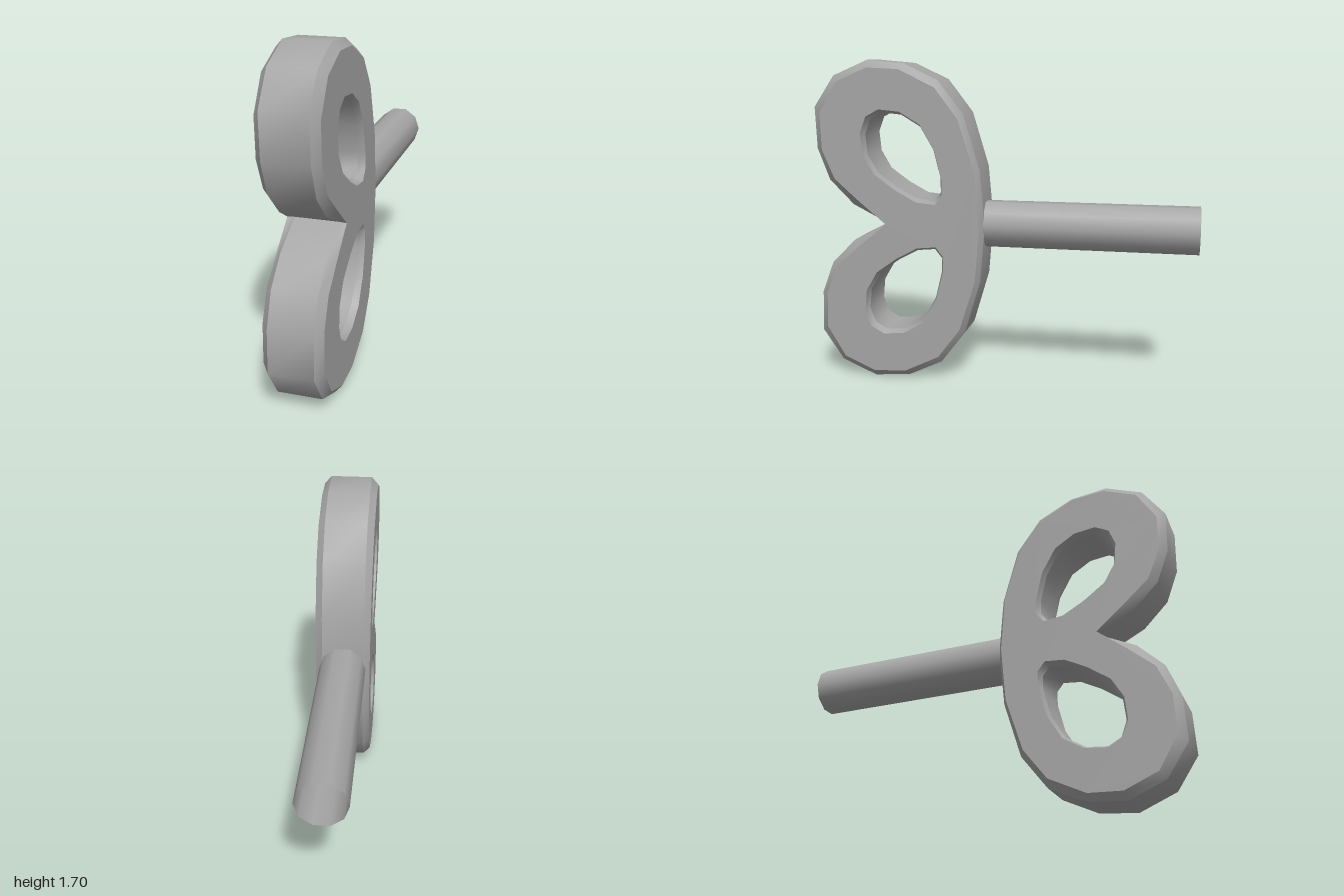
import * as THREE from 'three';
import { mergeGeometries, toCreasedNormals } from 'three/addons/utils/BufferGeometryUtils.js';

const MID = 0.848;         // height of the key's axis
const HALF = 0.145;        // half thickness of the handle
const WALL = 0.11;         // half thickness between the bevels

// Upper half of the handle as [z, y], from the shaft round to the notch
const RIM = [[0.09, MID], [0.115, 1.14], [0.2, 1.425], [0.33, 1.595], [0.51, 1.68], [0.703, 1.697],
  [0.89, 1.617], [1, 1.455], [0.992, 1.238], [0.928, 1.072], [0.8, 0.944], [0.61, MID]];
const FACE = [[0.113, MID], [0.136, 1.133], [0.222, 1.404], [0.34, 1.559], [0.527, 1.65], [0.698, 1.658],
  [0.864, 1.586], [0.96, 1.425], [0.954, 1.233], [0.89, 1.083], [0.757, 0.965], [0.615, MID]];
// Upper finger hole at the face
const HOLE = [[0.741, 1.324], [0.709, 1.409], [0.639, 1.447], [0.527, 1.436], [0.42, 1.372], [0.345, 1.243],
  [0.307, 1.088], [0.307, 1.008], [0.345, 0.96], [0.447, 0.97], [0.559, 1.03], [0.671, 1.11], [0.73, 1.211]];

const flip = (pts) => pts.map(([z, y]) => [z, 2 * MID - y]).reverse();
const closeLoop = (half) => [...half, ...flip(half).slice(1, -1)];

function shrink(pts, k) {
  const cz = pts.reduce((s, p) => s + p[0], 0) / pts.length;
  const cy = pts.reduce((s, p) => s + p[1], 0) / pts.length;
  return pts.map(([z, y]) => [cz + (z - cz) * k, cy + (y - cy) * k]);
}

// Strip joining loop a at x0 to loop b at x1, smooth along its length
function band(a, x0, b, x1) {
  const n = a.length, pos = [], index = [];
  a.forEach(([z, y]) => pos.push(x0, y, z));
  b.forEach(([z, y]) => pos.push(x1, y, z));
  for (let i = 0; i < n; i++) {
    const j = (i + 1) % n;
    index.push(i, j, n + i, j, n + j, n + i);
  }
  const g = new THREE.BufferGeometry();
  g.setAttribute('position', new THREE.Float32BufferAttribute(pos, 3));
  g.setIndex(index);
  return toCreasedNormals(g, 1.2);
}

// Bevel, wall, bevel across the thickness
const edge = (face, wall) => [
  band(face, -HALF, wall, -WALL),
  band(wall, -WALL, wall, WALL),
  band(wall, WALL, face, HALF),
];

// Flat side with holes; side is 1 for left, -1 for right
function cap(outline, holes, side) {
  const to2 = (pts) => pts.map(([z, y]) => new THREE.Vector2(-side * z, y));
  const shape = new THREE.Shape(to2(outline));
  shape.holes = holes.map((h) => new THREE.Path(to2(h)));
  const g = new THREE.ShapeGeometry(shape).rotateY(side * Math.PI / 2).translate(side * HALF, 0, 0);
  g.deleteAttribute('uv');
  return g.toNonIndexed();
}

export function createModel() {
  const metal = new THREE.MeshStandardMaterial({ color: 0xa6a6a6, side: THREE.DoubleSide });
  metal.name = 'grey metal';
  const group = new THREE.Group();
  group.name = 'windUpKey';

  // Two-lobed handle
  const face = closeLoop(FACE);
  const holes = [HOLE, flip(HOLE)];
  const parts = [
    ...edge(face, closeLoop(RIM)),
    ...holes.flatMap((h) => edge(h, shrink(h, 0.93))),
    cap(face, holes, 1),
    cap(face, holes, -1),
  ];
  const handle = new THREE.Mesh(mergeGeometries(parts), metal);
  handle.name = 'handle';
  group.add(handle);

  // Open ten-sided shaft running to the back
  const tube = new THREE.CylinderGeometry(0.124, 0.124, 1.12, 10, 1, true, Math.PI / 2);
  const shaft = new THREE.Mesh(tube.rotateX(-Math.PI / 2), metal);
  shaft.name = 'shaft';
  shaft.position.set(0, MID, -0.44);
  group.add(shaft);

  return group;
}
